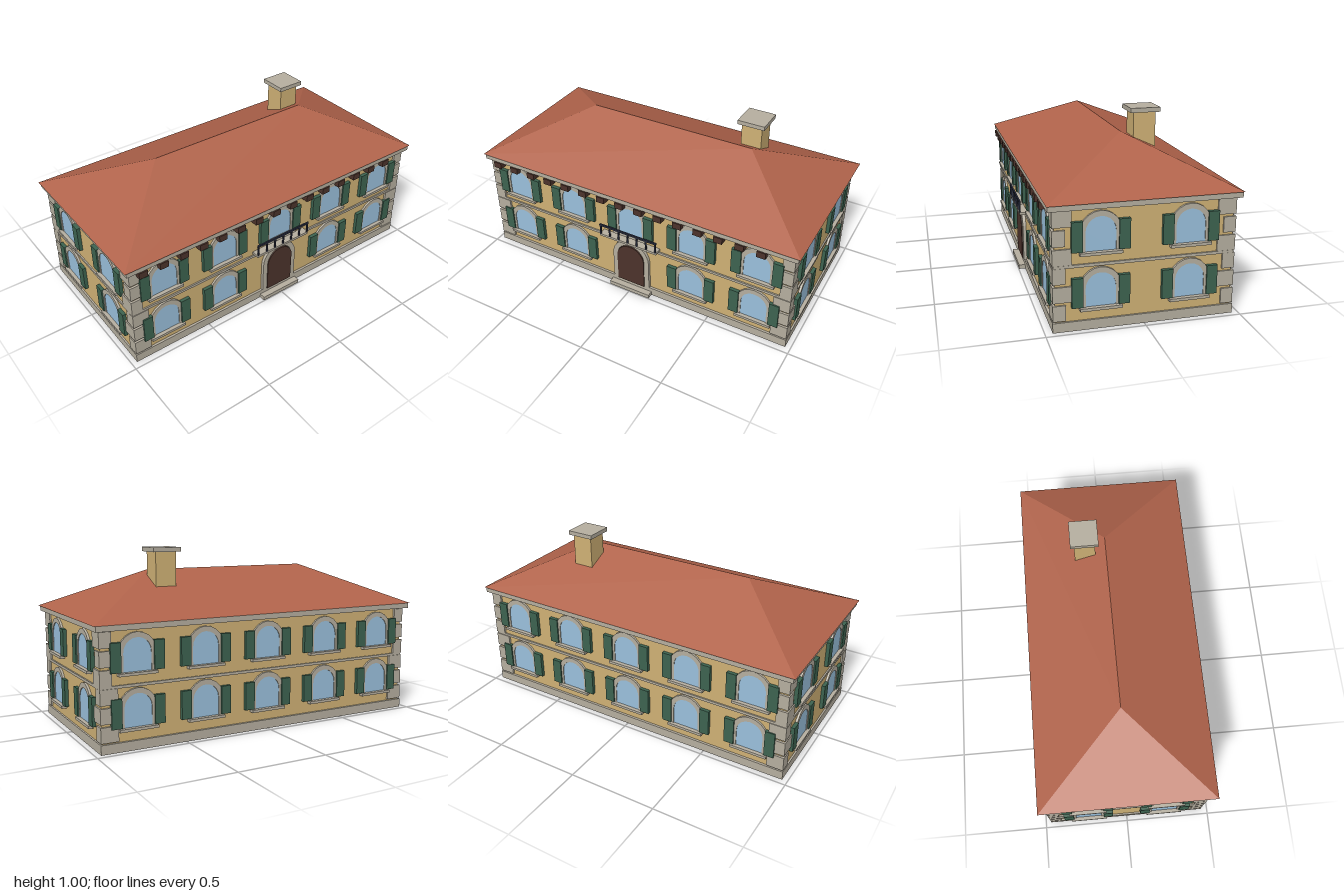
import * as THREE from 'three';

const paint = (name, color) => {
  const m = new THREE.MeshStandardMaterial({ color });
  m.name = name;
  return m;
};

export function createModel() {
  const stucco = paint('ochre stucco', 0xcfb175);
  const stone = paint('grey stone', 0xb5ae9f);
  const tile = paint('terracotta tile', 0xb0634b);
  const glassBlue = paint('pale blue glass', 0x9ac0dc);
  const green = paint('shutter green', 0x3d6350);
  const wood = paint('dark wood', 0x4c332b);
  const iron = paint('dark iron', 0x2b2e40);

  const model = new THREE.Group();
  model.name = 'villa';
  const house = new THREE.Group(); // centred on the walls
  house.name = 'house';
  house.position.z = -0.0035;
  model.add(house);

  const HX = 0.96, HZ = 0.4515; // wall half sizes

  function add(parent, name, geometry, material) {
    const mesh = new THREE.Mesh(geometry, material);
    mesh.name = name;
    parent.add(mesh);
    return mesh;
  }
  // Box given by its ranges on each axis
  function box(parent, name, material, x0, x1, y0, y1, z0, z1) {
    const mesh = add(parent, name, new THREE.BoxGeometry(x1 - x0, y1 - y0, z1 - z0), material);
    mesh.position.set((x0 + x1) / 2, (y0 + y1) / 2, (z0 + z1) / 2);
    return mesh;
  }
  const slab = (name, material, hx, hz, y0, y1) =>
    box(house, name, material, -hx, hx, y0, y1, -hz, hz);

  // Outline of a round-headed opening, from lower right over the arch to lower left
  function archPoints(r, bottom, spring, segments) {
    const pts = [new THREE.Vector2(r, bottom)];
    for (let i = 0; i <= segments; i++) {
      const a = (Math.PI * i) / segments;
      pts.push(new THREE.Vector2(r * Math.cos(a), spring + r * Math.sin(a)));
    }
    pts.push(new THREE.Vector2(-r, bottom));
    return pts;
  }
  const extrude = (pts, depth) =>
    new THREE.ExtrudeGeometry(new THREE.Shape(pts), { depth, bevelEnabled: false });
  const archPanel = (r, bottom, spring, segments, depth) =>
    extrude(archPoints(r, bottom, spring, segments), depth);
  const archFrame = (outer, inner, bottom, spring, segments, depth) =>
    extrude([...archPoints(outer, bottom, spring, segments),
      ...archPoints(inner, bottom, spring, segments).reverse()], depth);

  // Main masses
  slab('plinth', stone, 0.97, 0.465, 0, 0.05);
  slab('walls', stucco, HX, HZ, 0.05, 0.62);
  slab('beltCourse', stone, HX + 0.008, HZ + 0.008, 0.326, 0.341);
  slab('cornice', stone, 0.99, 0.4865, 0.618, 0.648);

  // Hipped roof
  const ex = 1, ez = 0.4915, ey = 0.648, ry = 0.875, rx = ex - ez;
  const A = [-ex, ey, ez], B = [ex, ey, ez], C = [ex, ey, -ez], D = [-ex, ey, -ez];
  const R = [rx, ry, 0], L = [-rx, ry, 0];
  const faces = [A, B, R, A, R, L, B, C, R, C, D, L, C, L, R, D, A, L, A, D, C, A, C, B];
  const roof = new THREE.BufferGeometry();
  roof.setAttribute('position', new THREE.Float32BufferAttribute(faces.flat(), 3));
  roof.computeVertexNormals();
  add(house, 'roof', roof, tile);

  // Chimney
  box(house, 'chimneyStack', stucco, 0.418, 0.538, 0.7, 0.98, -0.181, -0.061);
  box(house, 'chimneyCap', stone, 0.398, 0.558, 0.978, 1.002, -0.201, -0.041);

  // Corner stones, long and short in turn
  for (const sx of [-1, 1]) for (const sz of [-1, 1]) for (let i = 0; i < 6; i++) {
    const w = i % 2 ? 0.064 : 0.095, d = i % 2 ? 0.095 : 0.064;
    const q = add(house, 'cornerStone', new THREE.BoxGeometry(w, 0.081, d), stone);
    q.position.set(sx * (HX + 0.009 - w / 2), 0.05 + 0.095 * (i + 0.5), sz * (HZ + 0.012 - d / 2));
  }

  // Shuttered window, y = 0 at its foot and z = 0 on the wall
  const glassGeo = archPanel(0.0755, 0, 0.098, 10, 0.008);
  const frameGeo = archFrame(0.103, 0.0755, 0, 0.098, 10, 0.012);
  function makeWindow() {
    const g = new THREE.Group();
    g.name = 'window';
    add(g, 'glass', glassGeo, glassBlue);
    add(g, 'windowSurround', frameGeo, stone);
    box(g, 'sill', stone, -0.1055, 0.1055, -0.016, -0.001, -0.01, 0.0285);
    for (const s of [-1, 1]) {
      box(g, 'shutter', green, s * 0.117 - 0.028, s * 0.117 + 0.028, 0.002, 0.154, -0.002, 0.02);
    }
    return g;
  }
  function placeWindow(x, y, z, turn) {
    const g = makeWindow();
    g.position.set(x, y, z);
    g.rotation.y = turn;
    house.add(g);
  }
  [0.12, 0.403].forEach((y, floor) => {
    for (let i = -2; i <= 2; i++) {
      if (i !== 0 || floor === 1) placeWindow(i * 0.384, y, HZ, 0);
      placeWindow(i * 0.384, y, -HZ, Math.PI);
    }
    for (const s of [-1, 1]) for (const z of [-0.2265, 0.2265]) {
      placeWindow(s * HX, y, z, (s * Math.PI) / 2);
    }
  });

  // Front door with arched surround and step
  const entrance = new THREE.Group();
  entrance.name = 'entrance';
  entrance.position.z = HZ;
  house.add(entrance);
  add(entrance, 'door', archPanel(0.088, 0.05, 0.228, 14, 0.023), wood);
  add(entrance, 'doorSurround', archFrame(0.118, 0.088, 0.05, 0.232, 14, 0.018), stone);
  box(entrance, 'doorStep', stone, -0.132, 0.132, 0, 0.024, 0, 0.0495);

  // Balcony with iron railing
  const balcony = new THREE.Group();
  balcony.name = 'balcony';
  balcony.position.z = HZ;
  house.add(balcony);
  box(balcony, 'balconySlab', stone, -0.185, 0.185, 0.349, 0.363, -0.005, 0.046);
  box(balcony, 'topRail', iron, -0.185, 0.185, 0.421, 0.433, 0.039, 0.048);
  for (let i = -3; i <= 3; i++) {
    const x = i * 0.0595;
    box(balcony, 'baluster', iron, x - 0.004, x + 0.004, 0.362, 0.422, 0.0395, 0.0475);
  }

  // Wooden brackets under the front eaves
  for (let i = 0; i < 15; i++) {
    const x = -0.9 + i * 0.121;
    box(house, 'eaveBracket', wood, x - 0.025, x + 0.025, 0.581, 0.618, HZ - 0.005, HZ + 0.043);
  }

  return model;
}
